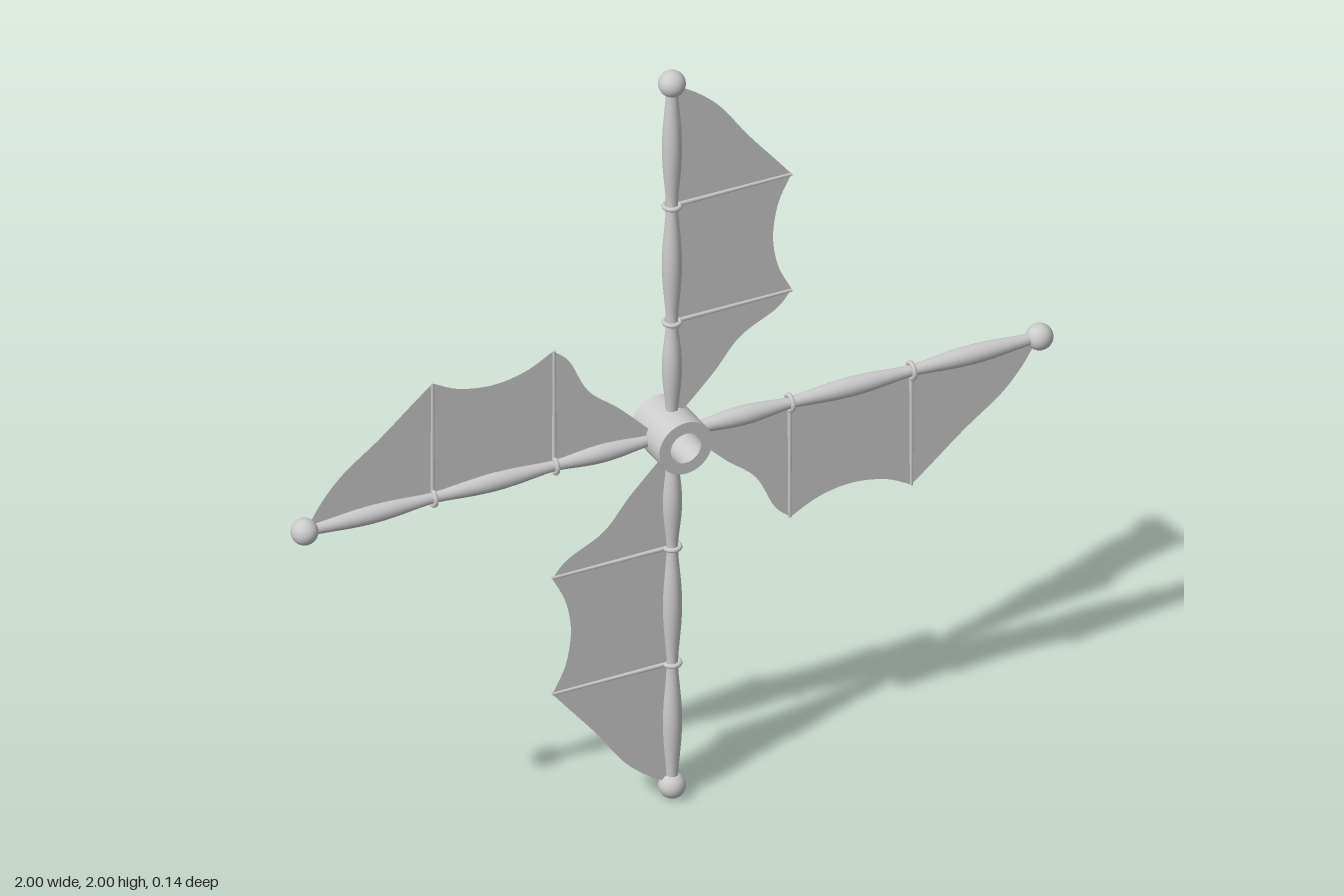
import * as THREE from 'three';

const material = new THREE.MeshStandardMaterial({ color: 0xcccccc, side: THREE.DoubleSide });

function add(parent, name, geometry, x = 0, y = 0) {
  const mesh = new THREE.Mesh(geometry, material);
  mesh.name = name;
  mesh.position.set(x, y, 0);
  parent.add(mesh);
  return mesh;
}

const V = (x, y) => new THREE.Vector2(x, y);
const ribHeights = [0.31, 0.63];

// Turned pole: three swellings with narrow necks between them
function sparGeometry() {
  const necks = [0.06, 0.31, 0.63, 0.95];
  const points = [];
  for (let i = 0; i < 3; i++) {
    for (let j = i ? 1 : 0; j <= 12; j++) {
      const t = j / 12;
      points.push(V(0.014 + 0.01 * Math.sin(Math.PI * t) ** 1.5, necks[i] + (necks[i + 1] - necks[i]) * t));
    }
  }
  return new THREE.LatheGeometry(points, 16);
}

// Bat-wing membrane with a scalloped outer edge
function sailGeometry() {
  const shape = new THREE.Shape();
  shape.moveTo(0, 0.06);
  shape.lineTo(0.03, 0.06);
  shape.splineThru([V(0.11, 0.14), V(0.18, 0.22), V(0.275, 0.27), V(0.315, 0.313)]);
  shape.splineThru([V(0.28, 0.385), V(0.266, 0.47), V(0.28, 0.56), V(0.315, 0.63)]);
  shape.splineThru([V(0.27, 0.685), V(0.2, 0.77), V(0.13, 0.865), V(0.07, 0.92), V(0.015, 0.955)]);
  shape.lineTo(0, 0.955);
  shape.closePath();
  return new THREE.ShapeGeometry(shape, 10);
}

// Hollow axle sleeve
function hubGeometry() {
  const profile = [[0.04, -0.072], [0.07, -0.072], [0.07, 0.072], [0.04, 0.072], [0.04, -0.072]];
  const points = [];
  // Doubled corners keep the rims sharp
  profile.forEach(([r, y], i) => {
    points.push(V(r, y));
    if (i > 0 && i < 4) points.push(V(r, y));
  });
  return new THREE.LatheGeometry(points, 40).rotateX(Math.PI / 2);
}

function createBlade() {
  const blade = new THREE.Group();
  blade.name = 'blade';
  add(blade, 'spar', sparGeometry());
  add(blade, 'sail', sailGeometry());
  add(blade, 'tipBall', new THREE.SphereGeometry(0.033, 24, 16), 0, 0.967);
  for (const y of ribHeights) {
    // Collar around the pole and the thin rib it carries
    add(blade, 'collar', new THREE.TorusGeometry(0.019, 0.006, 8, 20).rotateX(Math.PI / 2), 0, y);
    add(blade, 'rib', new THREE.CylinderGeometry(0.004, 0.006, 0.315, 8).rotateZ(-Math.PI / 2), 0.1575, y);
  }
  return blade;
}

export function createModel() {
  const model = new THREE.Group();
  model.name = 'windmillRotor';
  const rotor = new THREE.Group();
  rotor.name = 'rotor';
  rotor.position.y = 1;
  model.add(rotor);
  add(rotor, 'hub', hubGeometry());
  for (let i = 0; i < 4; i++) {
    const blade = createBlade();
    blade.rotation.z = -i * Math.PI / 2;
    rotor.add(blade);
  }
  return model;
}
